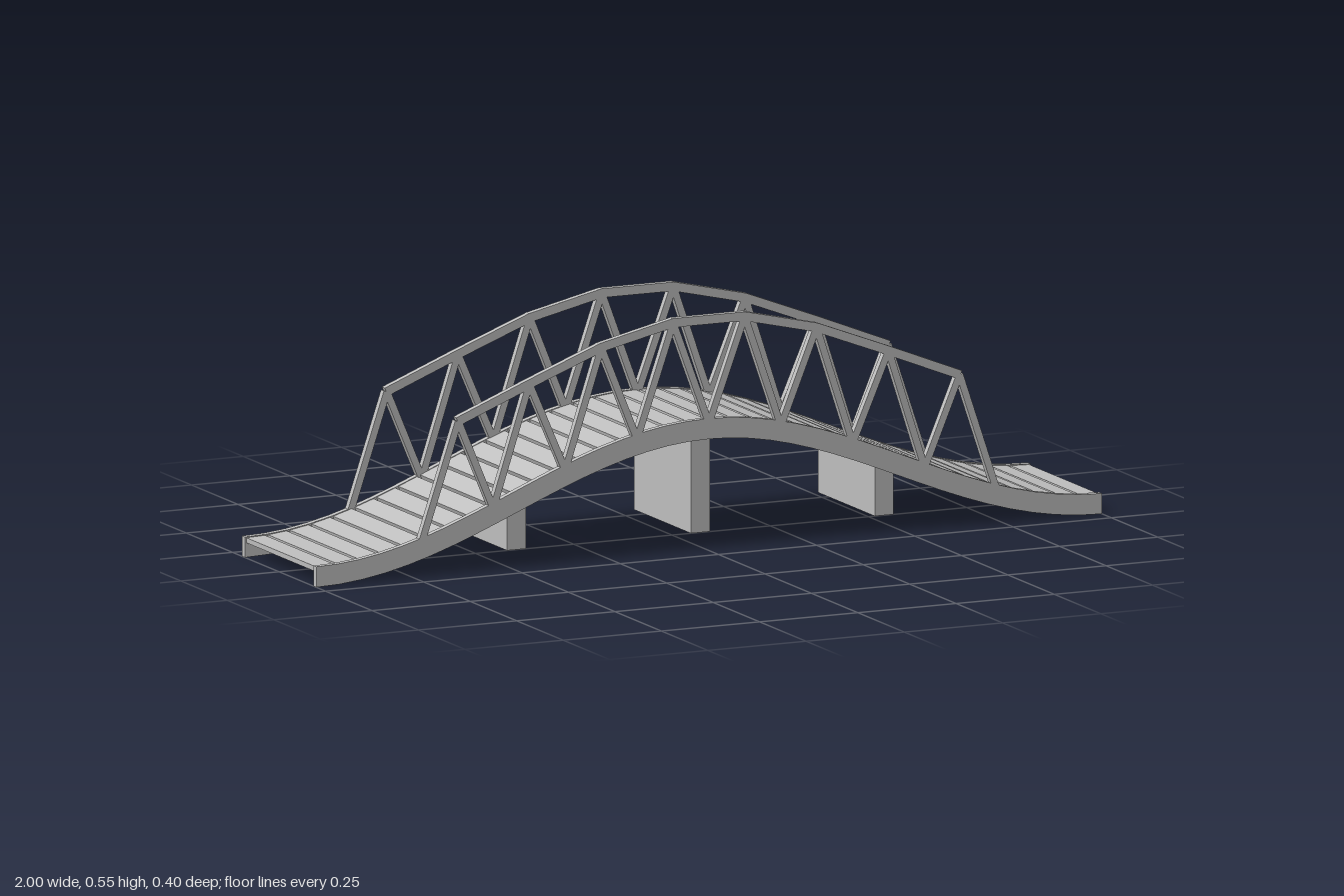
import * as THREE from 'three';

const HALF_WIDTH = 0.2, BEAM = 0.016, DECK_HALF = HALF_WIDTH - BEAM;
const PLANKS = 36, PLANK_THICK = 0.012, GAP = 0.008, STRINGER_DEPTH = 0.048;

// Height and slope of the arched walkway
const archY = x => 0.048 + 0.131 * (1 + Math.cos(Math.PI * x));
const archSlope = x => -0.131 * Math.PI * Math.sin(Math.PI * x);

export function createModel() {
  const gray = new THREE.MeshStandardMaterial({ color: 0xc0c0c0 });
  gray.name = 'light gray';
  const bridge = new THREE.Group();
  bridge.name = 'footbridge';

  const add = (parent, name, geometry) => {
    const mesh = new THREE.Mesh(geometry, gray);
    mesh.name = name;
    parent.add(mesh);
    return mesh;
  };

  // Outline in the xy plane, extruded symmetrically about z = 0
  const slab = (points, depth) => {
    const shape = new THREE.Shape(points.map(p => new THREE.Vector2(p[0], p[1])));
    return new THREE.ExtrudeGeometry(shape, { depth, bevelEnabled: false }).translate(0, 0, -depth / 2);
  };

  // Straight bar between two points in the xy plane
  const bar = (parent, name, a, b, thick, depth, extra = 0) => {
    const dx = b[0] - a[0], dy = b[1] - a[1];
    const mesh = add(parent, name, new THREE.BoxGeometry(Math.hypot(dx, dy) + extra, thick, depth));
    mesh.position.set((a[0] + b[0]) / 2, (a[1] + b[1]) / 2, 0);
    mesh.rotation.z = Math.atan2(dy, dx);
  };

  // Curved side beam outline
  const upper = [], lower = [];
  for (let i = 0; i <= PLANKS; i++) {
    const x = -1 + (2 * i) / PLANKS;
    const s = archSlope(x), len = Math.hypot(1, s);
    upper.push([x, archY(x)]);
    lower.push([x + (s / len) * STRINGER_DEPTH, archY(x) - STRINGER_DEPTH / len]);
  }
  const stringerGeometry = slab([...lower, ...upper.reverse()], BEAM);

  // Truss joints
  const topHalf = [[0.091, 0.542], [0.274, 0.5], [0.457, 0.43], [0.638, 0.358]];
  const top = [...topHalf.map(([x, y]) => [-x, y]).reverse(), ...topHalf];
  const bottom = [];
  for (let i = -4; i <= 4; i++) bottom.push([i * 0.183, archY(i * 0.183) - 0.012]);

  // Two mirrored sides
  for (const side of [1, -1]) {
    const truss = new THREE.Group();
    truss.name = side > 0 ? 'frontTruss' : 'backTruss';
    truss.position.z = side * (HALF_WIDTH - BEAM / 2);
    add(truss, 'stringer', stringerGeometry);
    top.forEach((p, i) => {
      if (i < top.length - 1) bar(truss, 'topChord', p, top[i + 1], 0.021, BEAM, 0.004);
      bar(truss, 'diagonal', bottom[i], p, 0.017, BEAM);
      bar(truss, 'diagonal', p, bottom[i + 1], 0.017, BEAM);
    });
    bridge.add(truss);
  }

  // Deck planks tilted along the arch
  const deck = new THREE.Group();
  deck.name = 'deck';
  for (let i = 0; i < PLANKS; i++) {
    const x0 = -1 + (2 * i) / PLANKS, x1 = x0 + 2 / PLANKS;
    const a = [x0 + GAP / 2, archY(x0 + GAP / 2) - 0.002 - PLANK_THICK / 2];
    const b = [x1 - GAP / 2, archY(x1 - GAP / 2) - 0.002 - PLANK_THICK / 2];
    bar(deck, 'plank', a, b, PLANK_THICK, DECK_HALF * 2);
  }
  bridge.add(deck);

  // Piers with tops cut to the slope of the deck
  for (const x of [-0.468, 0, 0.468]) {
    const l = x - 0.024, r = x + 0.024, drop = 0.013;
    add(bridge, 'pier', slab([[l, 0.034], [r, 0.034], [r, archY(r) - drop], [l, archY(l) - drop]], 0.305));
  }

  return bridge;
}
